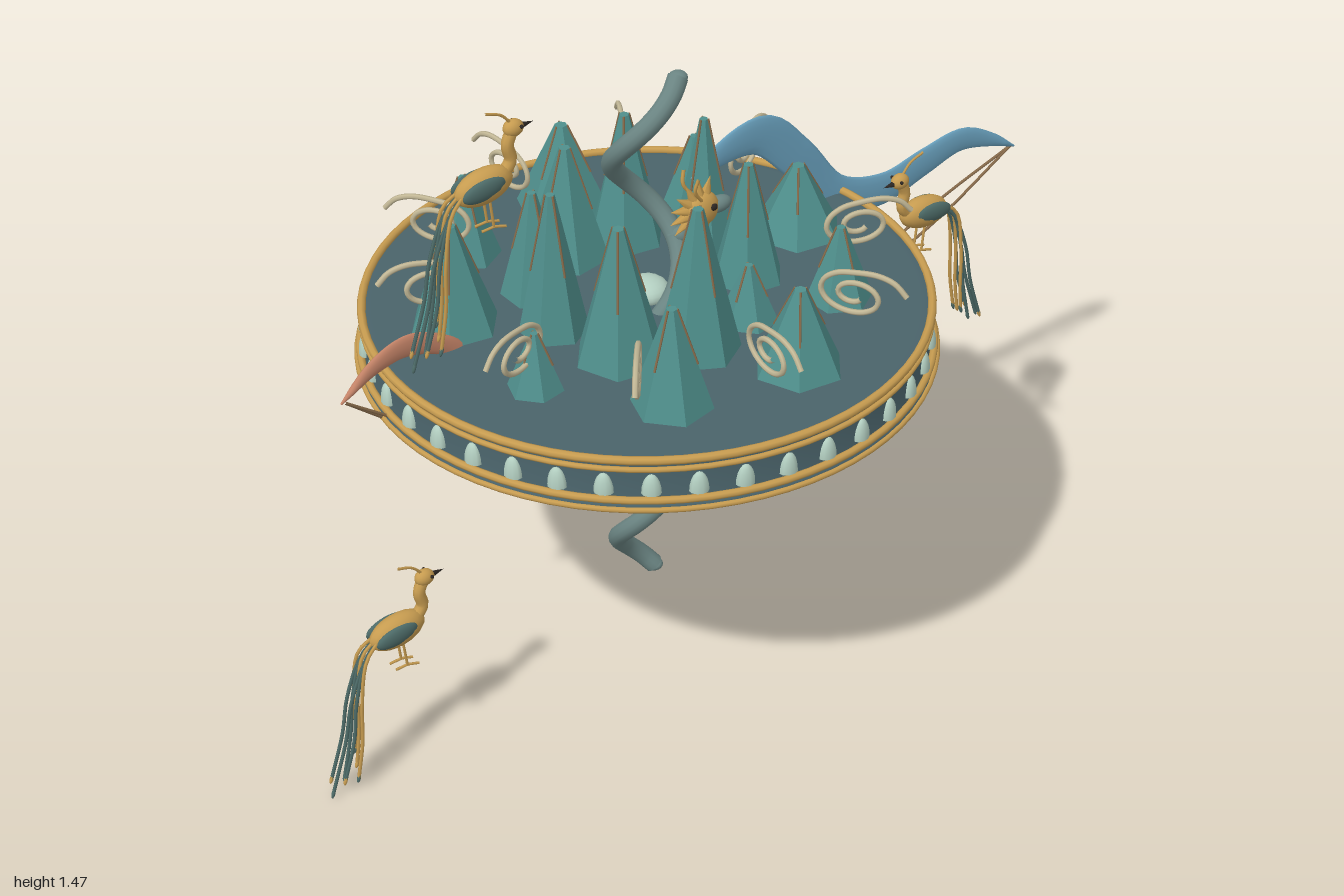
import * as THREE from 'three';
import { ParametricGeometry } from 'three/addons/geometries/ParametricGeometry.js';

const mat = (color, extra = {}) => Object.assign(new THREE.MeshStandardMaterial({ color }), extra);
const V = (x, y, z = 0) => new THREE.Vector3(x, y, z);
const curve = pts => new THREE.CatmullRomCurve3(pts.map(p => V(...p)));

const M = {
  gold: mat(0xc79c50), slate: mat(0x4a636a, { side: THREE.DoubleSide }),
  teal: mat(0x4f8f8c, { flatShading: true }), pale: mat(0xb4d0c2), serpent: mat(0x6b8583),
  blue: mat(0x6ba3c0, { side: THREE.DoubleSide }), coral: mat(0xc58468, { side: THREE.DoubleSide }),
  string: mat(0x8a6d4c), cloud: mat(0xc4b997), feather: mat(0x4d6b68), dark: mat(0x2c2622),
};

function add(parent, name, geo, material, pos = [0, 0, 0], rot = [0, 0, 0], scale = [1, 1, 1]) {
  const m = new THREE.Mesh(geo, material);
  m.name = name;
  m.position.set(...pos);
  m.rotation.set(...rot);
  m.scale.set(...scale);
  parent.add(m);
  return m;
}
const tube = (parent, name, pts, r, material, segs = 16, sides = 6) =>
  add(parent, name, new THREE.TubeGeometry(curve(pts), segs, r, sides), material);
const ball = (parent, name, pos, scale, material, rot = [0, 0, 0]) =>
  add(parent, name, new THREE.SphereGeometry(1, 16, 12), material, pos, rot, scale);
const lathe = (parent, name, pts, material, segs = 72) =>
  add(parent, name, new THREE.LatheGeometry(pts.map(p => new THREE.Vector2(...p)), segs), material);

// Straight rod between two points
function rod(parent, name, a, b, r, material) {
  const p = V(...a), q = V(...b);
  const m = add(parent, name, new THREE.CylinderGeometry(r, r, p.distanceTo(q), 5), material);
  m.position.copy(p).lerp(q, 0.5);
  m.quaternion.setFromUnitVectors(V(0, 1), q.clone().sub(p).normalize());
}

// Thin tapering limb; each point is [x, y, half width]
function limb(parent, name, pts, material, z, thick) {
  const c = curve(pts.map(p => [p[0], p[1], 0]));
  const w = curve(pts.map((p, i) => [i, p[2], 0]));
  const geo = new ParametricGeometry((u, v, out) => {
    const p = c.getPoint(u), t = c.getTangent(u), half = Math.max(w.getPoint(u).y, 0.002);
    const a = v * Math.PI * 2, s = Math.cos(a) * half;
    out.set(p.x - t.y * s, p.y + t.x * s, z + Math.sin(a) * Math.min(thick, half));
  }, 48, 12);
  add(parent, name, geo, material);
}

// Long-tailed bird facing +x, origin at its body
function makeBird() {
  const g = new THREE.Group();
  g.name = 'bird';
  ball(g, 'body', [0, 0, 0], [0.066, 0.037, 0.03], M.gold, [0, 0, 0.12]);
  for (const s of [-1, 1]) {
    ball(g, 'wing', [-0.012, 0.004, s * 0.021], [0.05, 0.022, 0.011], M.feather, [0, 0, 0.12]);
    rod(g, 'leg', [0.005, -0.03, s * 0.012], [0.012, -0.092, s * 0.012], 0.003, M.gold);
    for (const d of [-0.025, 0.025])
      rod(g, 'toe', [0.012, -0.09, s * 0.012], [0.012 + d, -0.095, s * 0.012 + d * 0.2], 0.003, M.gold);
    ball(g, 'eye', [0.082, 0.109, s * 0.016], [0.004, 0.004, 0.004], M.dark);
  }
  tube(g, 'neck', [[0.04, 0.005], [0.064, 0.035], [0.058, 0.07], [0.07, 0.1]], 0.013, M.gold, 12, 10);
  ball(g, 'head', [0.073, 0.103, 0], [0.022, 0.018, 0.017], M.gold);
  add(g, 'beak', new THREE.ConeGeometry(0.007, 0.03, 8), M.dark, [0.105, 0.102, 0], [0, 0, -Math.PI / 2]);
  tube(g, 'crest', [[0.068, 0.115], [0.045, 0.14], [0.01, 0.153]], 0.003, M.gold, 8, 5);
  // Trailing plumes, fanned both along and across the tail
  for (let i = 0; i < 7; i++) {
    const f = i / 3 - 1, k = (i * 3) % 7 / 6, j = (i * 5) % 7 / 6;
    const end = [-0.105 - 0.08 * j, -0.285 - 0.025 * k - 0.035 * j, f * 0.027];
    tube(g, 'plume', [[-0.045, 0.005, f * 0.008], [-0.085, -0.025 - 0.015 * j, f * 0.016],
      [-0.1 - 0.025 * j, -0.13, f * 0.023], [-0.1 - 0.045 * j, -0.22, f * 0.026], end],
    0.004, i % 3 ? M.feather : M.gold, 16, 5);
    ball(g, 'plumeEye', end, [0.004, 0.012, 0.004], i % 2 ? M.gold : M.feather, [0, 0, -0.3]);
  }
  return g;
}

// Round platform with a banded rim and flat underside
function makePlatform() {
  const g = new THREE.Group();
  g.name = 'platform';
  lathe(g, 'deck', [[0.59, 0.888], [0.57, 0.892], [0.001, 0.89]], M.slate);
  lathe(g, 'rimWall', [[0.605, 0.782], [0.605, 0.797], [0.59, 0.802], [0.59, 0.89]], M.slate);
  lathe(g, 'underside', [[0.001, 0.784], [0.605, 0.784]], M.slate);
  for (const [r, y, t] of [[0.592, 0.893, 0.009], [0.594, 0.873, 0.006], [0.6, 0.804, 0.008], [0.607, 0.786, 0.006]])
    add(g, 'rimBand', new THREE.TorusGeometry(r, t, 8, 72), M.gold, [0, y, 0], [Math.PI / 2, 0, 0]);
  const n = 40;
  for (let i = 0; i < n; i++) {
    const a = (i / n) * Math.PI * 2, s = Math.sin(a), c = Math.cos(a);
    add(g, 'rimPetal', new THREE.SphereGeometry(1, 10, 5, 0, Math.PI * 2, 0, Math.PI / 2),
      M.pale, [s * 0.59, 0.815, c * 0.59], [0, a, 0], [0.02, 0.045, 0.014]);
  }
  // Hub hanging beneath, ringed with petals
  lathe(g, 'hub', [[0.001, 0.688], [0.05, 0.69], [0.07, 0.705], [0.083, 0.735], [0.092, 0.784]], M.gold, 32);
  for (let i = 0; i < 14; i++) {
    const a = i * Math.PI / 7, s = Math.sin(a), c = Math.cos(a);
    ball(g, 'hubPetal', [s * 0.084, 0.745, c * 0.084], [0.016, 0.025, 0.008], M.pale, [0.25, a, 0, 'YXZ']);
  }
  for (let i = 0; i < 8; i++) {
    const s = Math.sin(i * Math.PI / 4), c = Math.cos(i * Math.PI / 4);
    tube(g, 'hubHook', [[s * 0.065, 0.705, c * 0.065], [s * 0.09, 0.722, c * 0.09],
      [s * 0.105, 0.75, c * 0.105]], 0.006, M.gold, 8);
  }
  ball(g, 'pearl', [0, 0.9, 0], [0.048, 0.03, 0.048], M.pale);
  return g;
}

// Hexagonal peak with thin gilded ridges
function addPeak(parent, x, z, r, top, i) {
  const h = top - 0.888, g = new THREE.Group(), tip = r * 0.13;
  g.name = 'peak';
  g.position.set(x, 0.888, z);
  g.rotation.y = i * 0.7;
  add(g, 'peakBody', new THREE.CylinderGeometry(tip, r, h, 6), M.teal, [0, h / 2, 0]);
  for (let k = 0; k < 6; k += 2) {
    const s = Math.sin(k * Math.PI / 3), c = Math.cos(k * Math.PI / 3), b = r * 0.6;
    rod(g, 'ridge', [s * tip, h, c * tip], [s * b, h * (r - b) / (r - tip), c * b], 0.0025, M.string);
  }
  parent.add(g);
}

export function createModel() {
  const root = new THREE.Group();
  root.name = 'floatingGarden';
  const cx = -0.11;
  const platform = makePlatform();
  platform.position.x = cx;
  root.add(platform);

  // Peaks: x, z, base radius, top height
  [[-0.32, -0.36, 0.076, 1.08], [-0.04, -0.4, 0.106, 1.09], [-0.49, -0.15, 0.097, 1.125], [-0.29, -0.15, 0.073, 1.13],
    [-0.15, -0.23, 0.094, 1.15], [-0.01, -0.21, 0.086, 1.19], [0.19, -0.23, 0.073, 1.06], [0.1, -0.08, 0.07, 1.2],
    [0.3, -0.01, 0.102, 1.05], [-0.34, -0.01, 0.073, 1.21], [-0.49, 0.14, 0.06, 1.02], [-0.29, 0.15, 0.097, 1.19],
    [-0.15, 0.225, 0.09, 1.22], [0, 0.2, 0.065, 1.02], [0.1, 0.07, 0.08, 1.16], [0.2, 0.25, 0.073, 1.06],
    [-0.31, 0.35, 0.086, 1.115], [-0.03, 0.4, 0.097, 1.075]].forEach((p, i) => addPeak(root, ...p, i));

  // Curling clouds standing in radial planes, mirrored front to back
  for (const deg of [25, 60, 95, 129, 160]) for (const side of [-1, 1]) {
    const a = side * deg * Math.PI / 180, pts = [[0.1, 0.02], [0.075, 0.045], [0.04, 0.056]];
    for (let k = 0; k <= 20; k++) {
      const t = Math.PI / 2 + k * 0.52, s = 1 - k / 26;
      pts.push([Math.cos(t) * 0.08 * s - 0.012, Math.sin(t) * 0.053 * s]);
    }
    const c = tube(root, 'cloud', pts, 0.006, M.cloud, 70, 6);
    c.position.set(cx + Math.cos(a) * 0.465, 1.0, -Math.sin(a) * 0.465);
    c.rotation.y = a;
  }

  // Coiling serpent through the hub
  const coil = [], pitch = Math.PI * 2 / 0.475;
  for (let i = 0; i <= 48; i++) {
    const y = 0.125 + i * 1.29 / 48;
    coil.push([cx + 0.07 * Math.cos((y - 0.54) * pitch), y, 0.07 * Math.cos((y - 0.42) * pitch)]);
  }
  tube(root, 'serpent', coil, 0.0215, M.serpent, 140, 12);
  for (const e of [coil[0], coil[48]]) ball(root, 'serpentEnd', e, [0.02, 0.013, 0.02], M.serpent);

  // Crested head among the peaks
  const head = new THREE.Group();
  head.name = 'crestedHead';
  head.position.set(-0.035, 1.11, 0.085);
  root.add(head);
  ball(head, 'skull', [0, 0, 0], [0.042, 0.04, 0.026], M.gold);
  ball(head, 'snout', [0.045, -0.004, 0], [0.032, 0.018, 0.018], M.serpent);
  tube(head, 'neck', [[-0.005, -0.01, -0.01], [0.01, -0.05, -0.025], [0.01, -0.085, -0.055], [-0.01, -0.1, -0.085]],
    0.019, M.serpent, 16, 10);
  for (let i = 0; i < 10; i++) {
    const a = Math.PI * (0.4 + i * 0.13);
    add(head, 'crestSpike', new THREE.ConeGeometry(0.014, 0.05, 6), M.gold,
      [Math.cos(a) * 0.055, Math.sin(a) * 0.05, 0], [0, 0, a - Math.PI / 2]);
  }
  for (const s of [-1, 1]) {
    ball(head, 'eye', [0.016, 0.01, s * 0.024], [0.008, 0.008, 0.005], M.dark);
    tube(head, 'horn', [[-0.01, 0.03, s * 0.015], [-0.03, 0.06, s * 0.02], [-0.025, 0.09, s * 0.025]], 0.004, M.gold, 8);
  }

  // Sweeping limbs with cords
  const z = -0.077;
  limb(root, 'upperLimb', [[0.07, 1.06, 0.01], [0.14, 1.1, 0.03], [0.25, 1.11, 0.046], [0.35, 1.02, 0.046],
    [0.46, 0.89, 0.044], [0.6, 0.85, 0.042], [0.72, 0.875, 0.038], [0.83, 0.895, 0.03], [0.93, 0.86, 0.016],
    [1, 0.82, 0.002]], M.blue, z, 0.008);
  limb(root, 'lowerLimb', [[-0.03, 0.68, 0.018], [0.06, 0.715, 0.024], [0.16, 0.735, 0.028], [0.27, 0.69, 0.028],
    [0.39, 0.595, 0.028], [0.5, 0.553, 0.024], [0.61, 0.555, 0.016], [0.74, 0.59, 0.002]], M.blue, z, 0.008);
  limb(root, 'coralLimb', [[-0.5, 0.85, 0.018], [-0.56, 0.905, 0.022], [-0.65, 0.94, 0.026], [-0.73, 0.92, 0.018],
    [-0.81, 0.865, 0.002]], M.coral, z, 0.008);
  for (const [x1, y1, x2, y2] of [[0.99, 0.825, 0.55, 0.635], [-0.8, 0.865, -0.53, 0.65], [0.72, 0.585, 0.4, 0.515]]) {
    const dx = (x2 - x1) / 2, dy = (y2 - y1) / 2;
    for (const s of [-0.04, 0.04])
      tube(root, 'cord', [[x1, y1, z], [x1 + dx - dy * s, y1 + dy + dx * s, z + s * 0.3], [x2, y2, z + s * 0.3]],
        0.0035, M.string, 12, 5);
  }

  // Birds: position and heading
  for (const [x, y, turn] of [[-0.53, 1.325, 0], [-0.79, 0.36, 0], [0.615, 0.845, Math.PI]]) {
    const b = makeBird();
    b.position.set(x, y, 0.045);
    b.rotation.y = turn;
    root.add(b);
  }
  return root;
}
